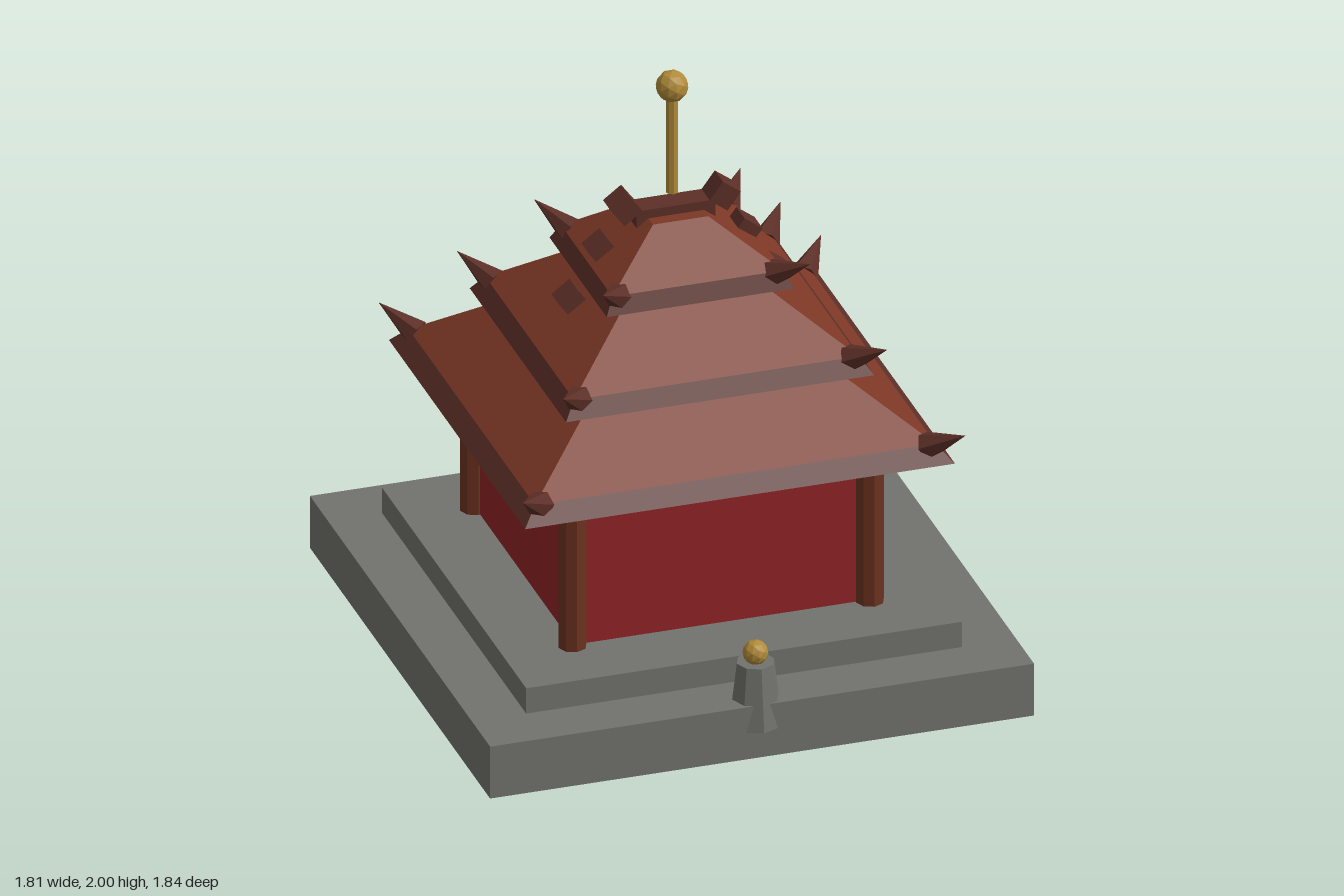
import * as THREE from 'three';

const paint = (name, color) => {
  const m = new THREE.MeshStandardMaterial({ color });
  m.name = name;
  return m;
};

// Facet a geometry so every face gets its own normal
const faceted = (geo) => {
  const g = geo.index ? geo.toNonIndexed() : geo;
  g.computeVertexNormals();
  return g;
};

// Rectangular frustum: half sizes at the bottom and at the top
const frustum = (bx, bz, tx, tz, y0, y1) => {
  const g = new THREE.BoxGeometry(2, 1, 2);
  const p = g.attributes.position;
  for (let i = 0; i < p.count; i++) {
    const top = p.getY(i) > 0;
    p.setXYZ(i, p.getX(i) * (top ? tx : bx), top ? y1 : y0, p.getZ(i) * (top ? tz : bz));
  }
  return faceted(g);
};

export function createModel() {
  const stone = paint('stone grey', 0x72736d);
  const red = paint('wall red', 0x922326);
  const tile = paint('roof brown', 0x7d3826);
  const trim = paint('trim brown', 0x5c2f27);
  const wood = paint('pillar brown', 0x6c3320);
  const gold = paint('gold', 0xb08a38);

  const model = new THREE.Group();
  model.name = 'pagoda';
  const tower = new THREE.Group();
  tower.name = 'tower';
  tower.position.z = -0.009;
  model.add(tower);

  const add = (name, geo, mat, x = 0, y = 0, z = 0, parent = tower) => {
    const mesh = new THREE.Mesh(geo, mat);
    mesh.name = name;
    mesh.position.set(x, y, z);
    parent.add(mesh);
    return mesh;
  };

  // Stepped base and walls
  add('lowerPlinth', frustum(0.907, 0.907, 0.907, 0.907, 0, 0.185), stone);
  add('upperPlinth', frustum(0.727, 0.727, 0.727, 0.727, 0.185, 0.275), stone);
  add('walls', frustum(0.49, 0.49, 0.49, 0.49, 0.275, 0.83), red);

  // Corner pillars
  const pillar = faceted(new THREE.CylinderGeometry(0.046, 0.046, 0.555, 8));
  for (const sx of [-1, 1]) for (const sz of [-1, 1])
    add('pillar', pillar, wood, sx * 0.496, 0.5525, sz * 0.496);

  // Three roof tiers: eave band, sloping roof, corner horns, ridge blocks
  const tiers = [
    { y: 0.82, eave: [0.717, 0.685], lip: [0.668, 0.637], top: [0.30, 0.29], peak: 1.145,
      horn: [0.645, 0.863, 0.62], tip: [0.738, 0.937, 0.727], block: [0.34, 1.245] },
    { y: 1.07, eave: [0.514, 0.485], lip: [0.475, 0.447], top: [0.16, 0.15], peak: 1.36,
      horn: [0.452, 1.11, 0.425], tip: [0.54, 1.182, 0.537], block: [0.24, 1.41] },
    { y: 1.315, eave: [0.313, 0.288], lip: [0.285, 0.26], top: [0.092, 0.087], peak: 1.51,
      horn: [0.257, 1.353, 0.235], tip: [0.345, 1.427, 0.35], block: [0.164, 1.547] },
  ];
  const up = new THREE.Vector3(0, 1, 0);
  tiers.forEach((t, i) => {
    const roof = new THREE.Group();
    roof.name = `roofTier${i + 1}`;
    tower.add(roof);
    add('eaveBand', frustum(...t.eave, ...t.lip, t.y, t.y + 0.055), trim, 0, 0, 0, roof);
    add('roofSlope', frustum(...t.lip, ...t.top, t.y + 0.055, t.peak), tile, 0, 0, 0, roof);

    for (const sx of [-1, 1]) {
      for (const sz of [-1, 1]) {
        const mirror = new THREE.Vector3(sx, 1, sz);
        const base = new THREE.Vector3(...t.horn).multiply(mirror);
        const axis = new THREE.Vector3(...t.tip).multiply(mirror).sub(base);
        const len = axis.length();
        const geo = faceted(new THREE.ConeGeometry(0.048, len, 6));
        const horn = add('cornerHorn', geo, trim, 0, 0, 0, roof);
        horn.position.copy(base).addScaledVector(axis, 0.5);
        horn.quaternion.setFromUnitVectors(up, axis.normalize());
      }
      const block = add('ridgeBlock', new THREE.BoxGeometry(0.075, i === 2 ? 0.075 : 0.062, 0.083),
        trim, sx * t.block[0], t.block[1], 0, roof);
      block.rotation.z = -sx * 0.64;
    }
  });

  // Top ridge and finial
  add('topRidge', new THREE.BoxGeometry(0.264, 0.065, 0.083), trim, 0, 1.508, 0);
  add('finialPole', faceted(new THREE.CylinderGeometry(0.02, 0.02, 0.35, 8)), gold, 0, 1.745, 0);
  add('finialBall', faceted(new THREE.IcosahedronGeometry(0.053, 1)), gold, 0, 1.947, 0);

  // Small stone post with a gold ball, at the front edge of the base
  const post = new THREE.Group();
  post.name = 'frontPost';
  post.position.z = 0.831;
  model.add(post);
  add('postBody', faceted(new THREE.CylinderGeometry(0.062, 0.089, 0.215, 8)), stone, 0, 0.2025, 0, post);
  add('postBall', faceted(new THREE.IcosahedronGeometry(0.042, 1)), gold, 0, 0.341, 0, post);

  return model;
}
